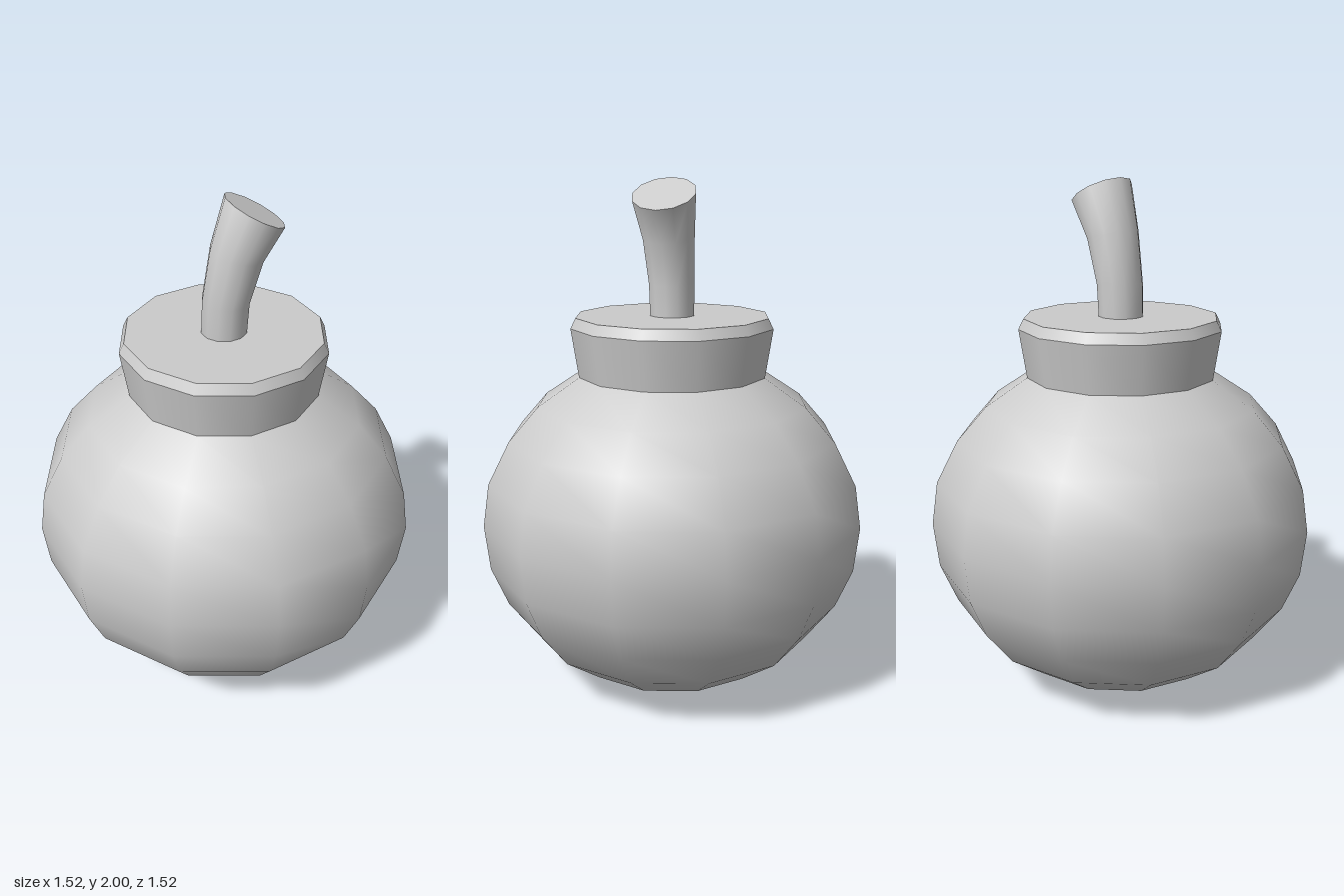
import * as THREE from 'three';
import { mergeGeometries } from 'three/addons/utils/BufferGeometryUtils.js';

const SIDES = 12;
const material = new THREE.MeshStandardMaterial({ color: 0xcccccc });

const lathe = (profile) =>
  new THREE.LatheGeometry(profile.map(([r, y]) => new THREE.Vector2(r, y)), SIDES);

// One lathe per band keeps the edges between bands sharp
const bandedLathe = (profile) =>
  mergeGeometries(profile.slice(1).map((p, i) => lathe([profile[i], p])));

// Bent, flaring stem: each row of a cylinder becomes a tilted ring
function bentStem(rings) {
  const rows = rings.length - 1;
  const geometry = new THREE.CylinderGeometry(1, 1, 1, SIDES, rows);
  const { position, normal } = geometry.attributes;
  const axis = new THREE.Vector3(0, 0, 1);
  const v = new THREE.Vector3();
  for (let i = 0; i < position.count; i++) {
    const ring = rings[Math.round((position.getY(i) + 0.5) * rows)];
    v.set(position.getX(i) * ring.r, 0, position.getZ(i) * ring.r).applyAxisAngle(axis, -ring.tilt);
    position.setXYZ(i, v.x + ring.x, v.y + ring.y, v.z);
    v.fromBufferAttribute(normal, i).applyAxisAngle(axis, -ring.tilt);
    normal.setXYZ(i, v.x, v.y, v.z);
  }
  return geometry;
}

export function createModel() {
  const group = new THREE.Group();
  const add = (name, geometry) => {
    const mesh = new THREE.Mesh(geometry, material);
    mesh.name = name;
    group.add(mesh);
  };

  // Round body with a small flat base
  add('body', lathe([
    [0, 0], [0.22, 0.005], [0.4, 0.075], [0.56, 0.19], [0.675, 0.34], [0.74, 0.495],
    [0.76, 0.675], [0.735, 0.845], [0.65, 1.01], [0.535, 1.14], [0.37, 1.25],
  ]));

  // Flared collar with a bevelled rim and flat top
  add('collar', bandedLathe([[0.37, 1.245], [0.4, 1.44], [0.38, 1.48], [0, 1.48]]));

  // Fuse leaning to the model's left
  add('fuse', bentStem([
    { x: 0, y: 1.475, r: 0.088, tilt: 0 },
    { x: 0.007, y: 1.605, r: 0.09, tilt: 0.06 },
    { x: 0.047, y: 1.785, r: 0.101, tilt: 0.25 },
    { x: 0.112, y: 1.943, r: 0.122, tilt: 0.49 },
  ]));

  return group;
}
